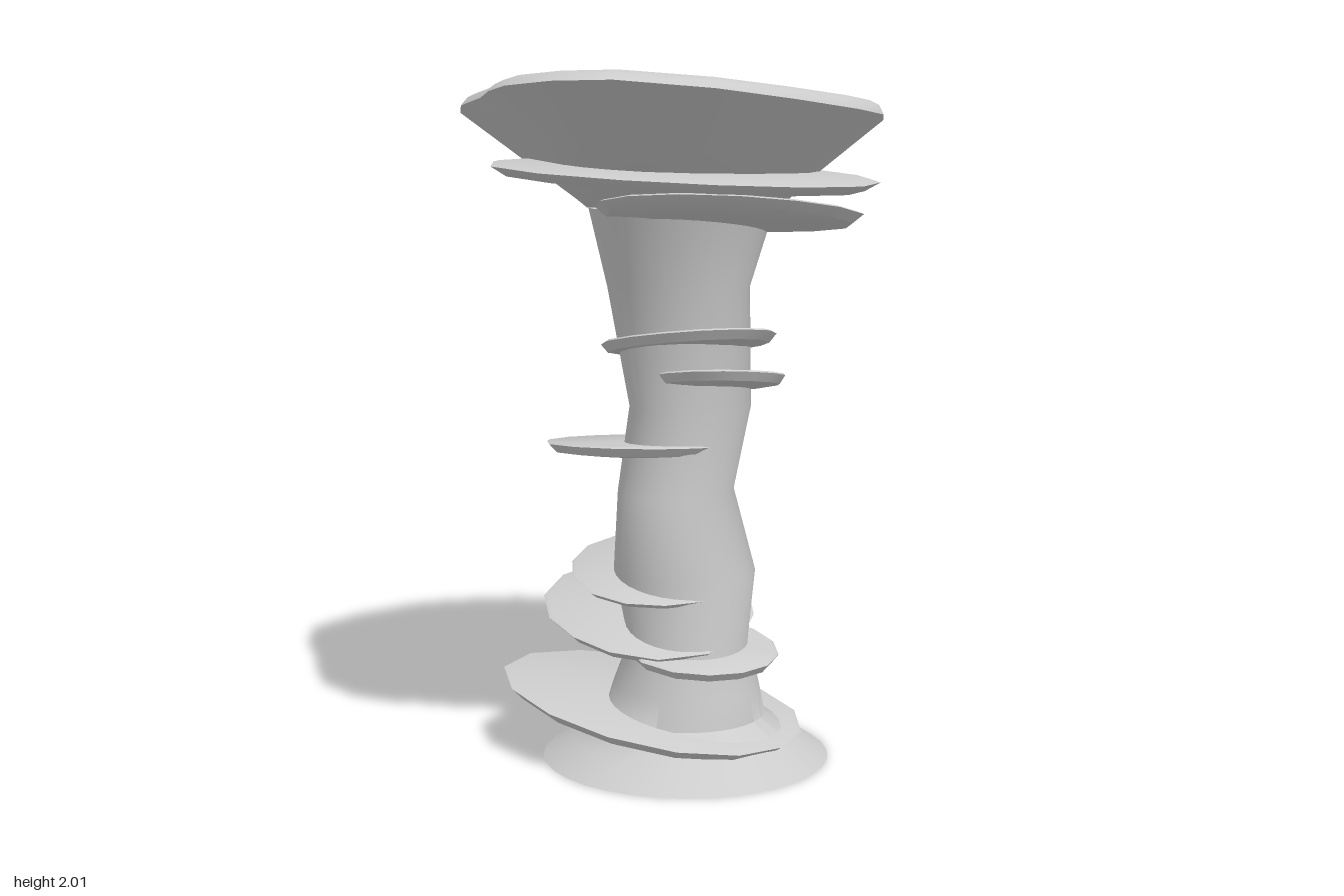
import * as THREE from 'three';
import { toCreasedNormals } from 'three/addons/utils/BufferGeometryUtils.js';

const SIDES = 20;
const material = new THREE.MeshStandardMaterial({ color: 0xcccccc });

// Skins a stack of equal-length rings (bottom to top), closing both ends with a fan
function loft(name, rings, crease = 0.8) {
  const n = rings[0].length, pos = [], index = [];
  rings.forEach(r => r.forEach(p => pos.push(p.x, p.y, p.z)));
  for (let j = 0; j < rings.length - 1; j++) {
    for (let i = 0; i < n; i++) {
      const a = j * n + i, b = j * n + (i + 1) % n, c = a + n, d = b + n;
      index.push(a, c, b, b, c, d);
    }
  }
  [0, rings.length - 1].forEach((j, top) => {
    const mid = rings[j].reduce((s, p) => s.add(p), new THREE.Vector3()).divideScalar(n);
    const centre = pos.length / 3;
    pos.push(mid.x, mid.y, mid.z);
    for (let i = 0; i < n; i++) {
      const a = j * n + i, b = j * n + (i + 1) % n;
      top ? index.push(a, centre, b) : index.push(a, b, centre);
    }
  });
  const g = new THREE.BufferGeometry();
  g.setAttribute('position', new THREE.Float32BufferAttribute(pos, 3));
  g.setIndex(index);
  const mesh = new THREE.Mesh(toCreasedNormals(g, crease), material);
  mesh.name = name;
  return mesh;
}

// Horizontal elliptical ring from its extents in x and z
function ring([y, x0, x1, z0, z1], n = 32) {
  return Array.from({ length: n }, (_, i) => {
    const a = i / n * Math.PI * 2;
    return new THREE.Vector3((x0 + x1) / 2 + Math.sin(a) * (x1 - x0) / 2, y,
      (z0 + z1) / 2 - Math.cos(a) * (z1 - z0) / 2);
  });
}

// Thin tilted shelf: flat top, bevelled underside, slightly uneven edge
function shelf({ x, y, z, rx, rz, sx, sz, t = 0.04, seed }) {
  const layer = (scale, drop) => Array.from({ length: 14 }, (_, i) => {
    const a = i / 14 * Math.PI * 2;
    const k = scale * (1 + 0.03 * Math.sin(2 * a + seed) + 0.025 * Math.sin(3 * a + seed * 2));
    const dx = Math.sin(a) * rx * k, dz = -Math.cos(a) * rz * k;
    return new THREE.Vector3(x + dx, y + sx * dx + sz * dz - drop, z + dz);
  });
  return loft('shelf', [layer(0.6, t), layer(0.92, t * 0.75), layer(1, 0.005), layer(0.97, 0)], 0.6);
}

export function createModel() {
  const group = new THREE.Group();

  // Gently bent stem with a flared foot: y, x range, z range
  const stem = [
    [0, -0.45, 0.4, -0.62, 0.23],
    [0.06, -0.36, 0.31, -0.53, 0.14],
    [0.13, -0.27, 0.21, -0.43, 0.04],
    [0.22, -0.24, 0.195, -0.405, 0.025],
    [0.35, -0.19, 0.16, -0.38, 0],
    [0.56, -0.24, 0.18, -0.4, 0.005],
    [0.8, -0.22, 0.11, -0.4, 0.015],
    [1.05, -0.19, 0.165, -0.375, -0.02],
    [1.4, -0.24, 0.17, -0.37, 0.05],
    [1.63, -0.29, 0.235, -0.475, 0.14],
  ];
  group.add(loft('stem', stem.map(r => ring(r)), 0.8));

  // Wide tilted cap flaring out of the stem; outline in x, z
  const outline = [
    [0, -0.78], [0.23, -0.71], [0.39, -0.52], [0.47, -0.35], [0.56, -0.17],
    [0.6, -0.02], [0.57, 0.12], [0.47, 0.36], [0.34, 0.6], [0.14, 0.78],
    [-0.03, 0.76], [-0.2, 0.66], [-0.3, 0.54], [-0.4, 0.38], [-0.55, 0.19],
    [-0.65, -0.01], [-0.62, -0.24], [-0.5, -0.5], [-0.4, -0.61], [-0.18, -0.76],
  ];
  const rim = outline.map(([x, z]) => new THREE.Vector3(x, 1.895 + 0.11 * z, z));
  const neck = outline.map(([x, z]) => {
    const d = new THREE.Vector3(x + 0.03, 0, z + 0.16).normalize();
    return new THREE.Vector3(-0.03 + d.x * 0.265, 1.62 + d.z * 0.02, -0.165 + d.z * 0.31);
  });
  const blend = t => neck.map((p, i) => p.clone().lerp(rim[i], t));
  const inset = (s, lift) => rim.map(p =>
    new THREE.Vector3(p.x * s, 1.895 + 0.1 * p.z * s + lift, p.z * s - 0.01));
  group.add(loft('cap',
    [neck, blend(0.5), rim, inset(0.975, 0.025), inset(0.93, 0.038), inset(0.5, 0.045)], 0.9));

  // Shelves ringing the stem, from bottom to top; sx and sz are slopes
  [
    { x: -0.12, y: 0.16, z: -0.18, rx: 0.45, rz: 0.37, sx: -0.18, sz: -0.02, t: 0.045 },
    { x: 0.04, y: 0.35, z: -0.15, rx: 0.23, rz: 0.23, sx: -0.1, sz: -0.08 },
    { x: -0.16, y: 0.43, z: -0.26, rx: 0.32, rz: 0.34, sx: -0.11, sz: -0.19 },
    { x: -0.11, y: 0.56, z: -0.2, rx: 0.26, rz: 0.28, sx: -0.1, sz: -0.16, t: 0.03 },
    { x: -0.15, y: 0.94, z: -0.185, rx: 0.29, rz: 0.255, sx: 0.03, sz: 0.08 },
    { x: 0.085, y: 1.15, z: -0.16, rx: 0.195, rz: 0.22, sx: 0.08, sz: 0.18 },
    { x: 0, y: 1.255, z: -0.155, rx: 0.255, rz: 0.225, sx: 0.12, sz: 0.18 },
    { x: 0.17, y: 1.635, z: 0.01, rx: 0.36, rz: 0.385, sx: 0.02, sz: 0.16 },
    { x: 0.1, y: 1.745, z: 0.16, rx: 0.54, rz: 0.46, sx: -0.05, sz: -0.01 },
  ].forEach((s, i) => group.add(shelf({ ...s, seed: i * 1.7 })));

  return group;
}
